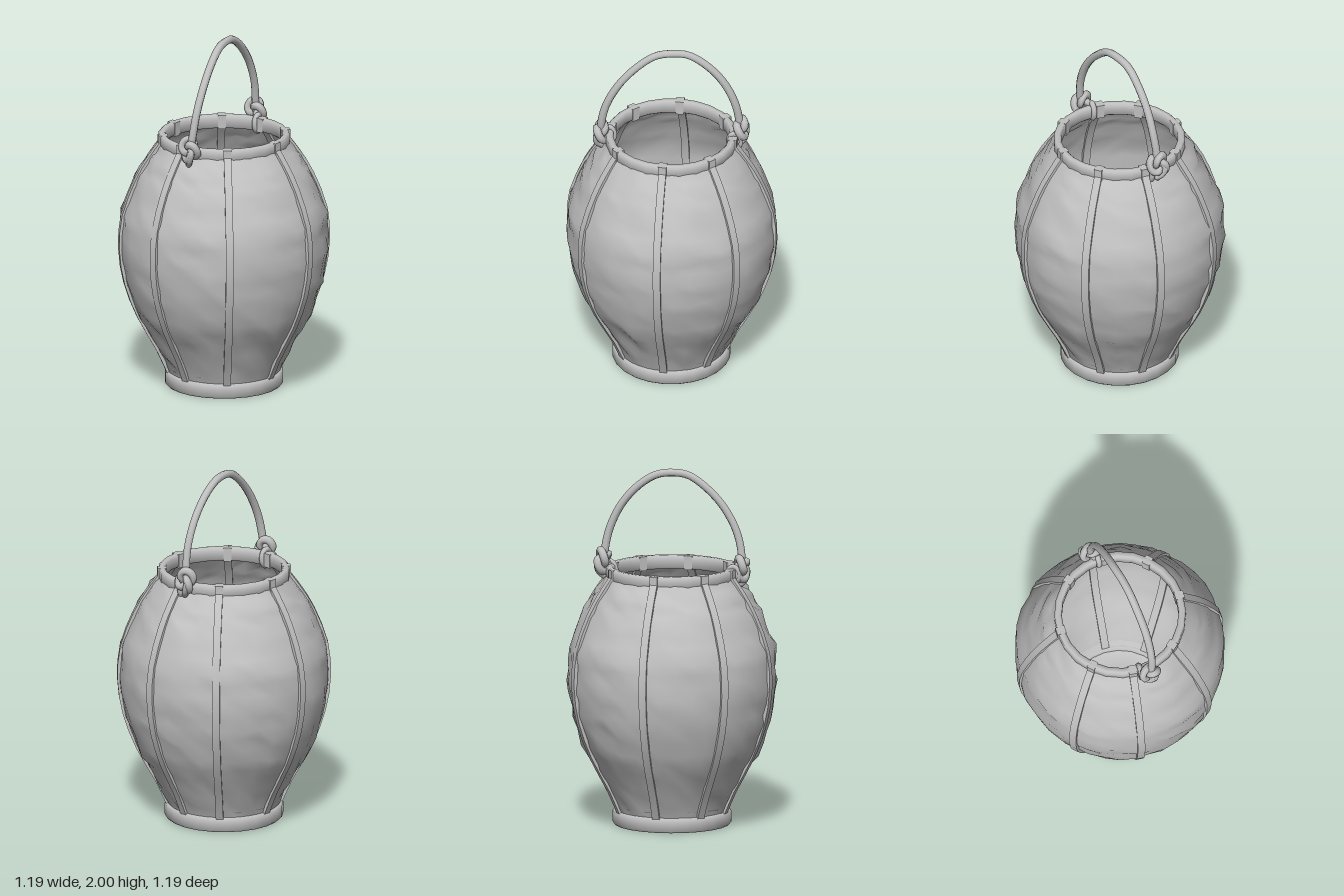
import * as THREE from 'three';
import { mergeVertices, toCreasedNormals } from 'three/addons/utils/BufferGeometryUtils.js';

const V2 = (x, y) => new THREE.Vector2(x, y);
const V3 = (x, y, z) => new THREE.Vector3(x, y, z);

// Repeatable noise in -1..1 for a grid cell
function jitter(i, j) {
  const s = Math.sin(i * 127.1 + j * 311.7) * 43758.5453;
  return (s - Math.floor(s)) * 2 - 1;
}

export function createModel() {
  const root = new THREE.Group();
  const grey = new THREE.MeshStandardMaterial({ color: 0xc0c0c0, side: THREE.DoubleSide });
  grey.name = 'grey';

  function add(name, geometry, parent = root) {
    const mesh = new THREE.Mesh(geometry, grey);
    mesh.name = name;
    parent.add(mesh);
    return mesh;
  }

  // Barrel profile shared by the paper and the ribs
  const profile = new THREE.SplineCurve([
    V2(0.3, 0.05), V2(0.365, 0.2), V2(0.475, 0.4), V2(0.55, 0.6), V2(0.58, 0.8),
    V2(0.565, 1.0), V2(0.49, 1.2), V2(0.42, 1.32), V2(0.355, 1.41),
  ]);

  // Wrinkled paper body: creases between the ribs, lapped sheets at two heights
  const segments = 40, rows = 24;
  let body = new THREE.LatheGeometry(profile.getPoints(rows), segments);
  const p = body.attributes.position;
  for (let k = 0; k < p.count; k++) {
    const col = Math.floor(k / (rows + 1)) % segments, row = k % (rows + 1);
    const edge = row < 2 || row > rows - 2 ? 0.2 : 1;
    const slack = edge * (col % 5 === 0 ? 0.3 : 1);
    const y = p.getY(k);
    const lap = (y > 0.43 && y < 0.52) || (y > 0.98 && y < 1.06) ? 0.006 : 0;
    const pleat = row % 3 === 0 ? 0.004 : -0.002;
    const r = Math.hypot(p.getX(k), p.getZ(k));
    const f = 1 + (slack * (lap + pleat + 0.008 * jitter(col, row))) / r;
    p.setXYZ(k, p.getX(k) * f, y + slack * 0.014 * jitter(row, col + 50), p.getZ(k) * f);
  }
  body.deleteAttribute('uv');
  body.deleteAttribute('normal');
  body = mergeVertices(body, 1e-4);
  body.computeVertexNormals();
  add('paperBody', body);

  // Vertical ribs, bent along the barrel profile
  const ribs = new THREE.Group();
  ribs.name = 'ribs';
  root.add(ribs);
  const line = profile.getPoints(16);
  const outline = [
    ...line.map((q) => V2(q.x + 0.014, q.y)),
    ...line.map((q) => V2(q.x - 0.016, q.y)).reverse(),
  ];
  const ribGeometry = new THREE.ExtrudeGeometry(new THREE.Shape(outline), { depth: 0.042, bevelEnabled: false });
  ribGeometry.translate(0, 0, -0.021);
  const ribShape = toCreasedNormals(ribGeometry, 0.6);
  for (const degrees of [0, 46, 88, 128, 180, 226, 264, 309]) {
    const a = THREE.MathUtils.degToRad(degrees);
    add('rib', ribShape, ribs).rotation.y = a;
    // Binding where the rib meets the mouth hoop
    const binding = add('ribBinding', new THREE.BoxGeometry(0.052, 0.08, 0.045), ribs);
    binding.position.set(0.345 * Math.cos(a), 1.413, -0.345 * Math.sin(a));
    binding.rotation.y = a;
  }

  // Hoops at the mouth and the foot
  function hoop(name, inner, outer, low, high) {
    const b = 0.01;
    const ring = [
      [inner + b, low], [outer - b, low], [outer, low + b], [outer, high - b], [outer - b, high],
      [inner + b, high], [inner, high - b], [inner, low + b], [inner + b, low],
    ].map(([x, y]) => V2(x, y));
    add(name, toCreasedNormals(new THREE.LatheGeometry(ring, 24), 0.9));
  }
  hoop('mouthHoop', 0.325, 0.366, 1.375, 1.453);
  hoop('footHoop', 0.285, 0.33, 0, 0.083);

  // Floor sheet inside the foot, turned up at the edge to meet the paper
  const sheet = [V2(0, 0.045), V2(0.2, 0.047), V2(0.285, 0.055), V2(0.325, 0.115)];
  add('floor', new THREE.LatheGeometry(sheet, 32));

  // Rope handle arching from front to back
  const arch = new THREE.CatmullRomCurve3([
    V3(0.045, 1.43, 0.385), V3(0.062, 1.52, 0.385), V3(0.068, 1.65, 0.355), V3(0.062, 1.79, 0.28),
    V3(0.045, 1.9, 0.18), V3(0.028, 1.965, 0.085), V3(0.012, 1.978, 0), V3(-0.008, 1.965, -0.09),
    V3(-0.022, 1.9, -0.19), V3(-0.035, 1.79, -0.285), V3(-0.045, 1.65, -0.35),
    V3(-0.055, 1.52, -0.375), V3(-0.055, 1.45, -0.38),
  ]);
  add('ropeHandle', new THREE.TubeGeometry(arch, 48, 0.022, 8));

  // Knots tying the handle to the mouth hoop
  function knot(name, x, y, z, side) {
    const group = new THREE.Group();
    group.name = name;
    root.add(group);
    const ball = add('knotBall', new THREE.TorusKnotGeometry(0.036, 0.02, 60, 7, 2, 3), group);
    ball.position.set(x, y + 0.01, z);
    ball.scale.set(0.95, 1.15, 1.2);
    // Loop round the hoop
    const loop = add('knotLoop', new THREE.TorusGeometry(0.048, 0.016, 7, 18), group);
    loop.position.set(x - side * 0.04, 1.416, side * 0.352);
    loop.rotation.y = Math.PI / 2;
    loop.scale.x = 0.75;
    // Loose rope end
    const tail = new THREE.CatmullRomCurve3([
      V3(x, y + 0.03, z), V3(x + side * 0.03, y, z + side * 0.025),
      V3(x + side * 0.015, y - 0.05, z + side * 0.02), V3(x - side * 0.005, y - 0.075, z),
    ]);
    add('knotTail', new THREE.TubeGeometry(tail, 10, 0.018, 7), group);
    const tip = add('knotTailTip', new THREE.SphereGeometry(0.018, 8, 6), group);
    tip.position.copy(tail.getPoint(1));
  }
  knot('frontKnot', 0.045, 1.44, 0.388, 1);
  knot('backKnot', -0.06, 1.465, -0.382, -1);

  return root;
}
